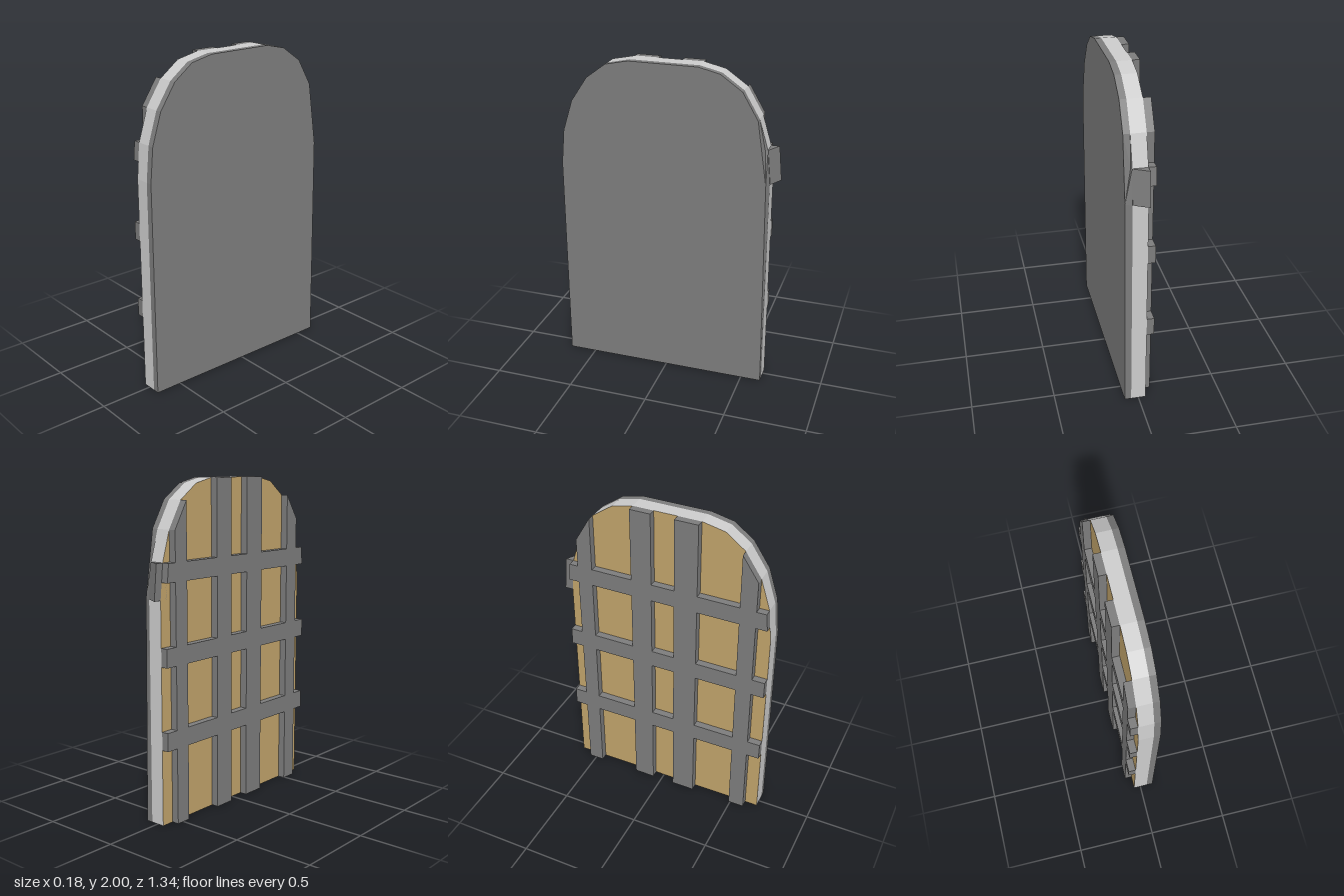
import * as THREE from 'three';

// Door outline as [z, y], running from the +z foot over the arch to the -z foot
const OUTLINE = [
  [0.67, 0], [0.67, 1.33], [0.65, 1.54], [0.59, 1.73], [0.49, 1.88], [0.37, 1.97], [0.23, 2],
  [-0.19, 2], [-0.32, 1.97], [-0.45, 1.88], [-0.545, 1.72], [-0.6, 1.54], [-0.62, 1.33], [-0.625, 0],
];

const mat = (color) => new THREE.MeshStandardMaterial({ color, flatShading: true });

// Extrude a [z, y] polygon between x0 and x1
function slab(points, x0, x1) {
  const shape = new THREE.Shape(points.map(([z, y]) => new THREE.Vector2(z, y)));
  const geo = new THREE.ExtrudeGeometry(shape, { depth: x1 - x0, bevelEnabled: false });
  return geo.rotateY(-Math.PI / 2).translate(x1, 0, 0);
}

// Height of the arch above a given z
function topAt(z) {
  for (let i = 1; i < OUTLINE.length - 2; i++) {
    const [az, ay] = OUTLINE[i], [bz, by] = OUTLINE[i + 1];
    if (z <= az && z >= bz) return ay + (by - ay) * (az - z) / (az - bz);
  }
  return 0;
}

// Half-width limit at a given height, on the +z (side 1) or -z (side -1) edge
function edgeAt(y, side) {
  const pts = OUTLINE.filter(([z]) => z * side > 0).sort((a, b) => a[1] - b[1]);
  for (let i = 0; i < pts.length - 1; i++) {
    const [az, ay] = pts[i], [bz, by] = pts[i + 1];
    if (y >= ay && y <= by) return az + (bz - az) * (y - ay) / (by - ay);
  }
  return 0;
}

// Move every vertex through a rule
function reshape(geo, rule) {
  const p = geo.attributes.position, v = new THREE.Vector3();
  for (let i = 0; i < p.count; i++) {
    v.fromBufferAttribute(p, i);
    rule(v);
    p.setXYZ(i, v.x, v.y, v.z);
  }
  geo.computeVertexNormals();
  return geo;
}

export function createModel() {
  const group = new THREE.Group();
  const rim = mat(0xcccccc), iron = mat(0x7c7c7c), wood = mat(0xc0a26a);
  const add = (name, geo, material) => {
    const mesh = new THREE.Mesh(geo, material);
    mesh.name = name;
    group.add(mesh);
  };

  // Wooden core with a grey rim
  add('doorCore', slab(OUTLINE, -0.045, 0.045), [wood, rim]);

  // Backing plate, with its far edge pinched in at the arch spring
  add('backPlate', reshape(slab(OUTLINE, 0.045, 0.085), (v) => {
    if (v.x < 0.08 || v.z > -0.55) return;
    if (Math.abs(v.y - 1.54) < 0.01) { v.x = 0.05; v.z = -0.585; }
    else if (Math.abs(v.y - 1.33) < 0.01) v.z = -0.605;
  }), iron);

  // Slanted catch on the far edge
  const latch = new THREE.BoxGeometry(0.09, 0.21, 0.1).translate(0, 1.435, -0.6);
  add('edgeCatch', reshape(latch, (v) => {
    if (v.z > -0.6) v.z = -0.57;
    else if (v.x > 0) v.z = v.y > 1.43 ? -0.602 : -0.622;
    else v.z = v.y > 1.43 ? -0.65 : -0.67;
  }), iron);

  // Upright straps, their tops cut to the arch
  for (const [z0, z1] of [[-0.545, -0.45], [-0.19, -0.06], [0.085, 0.23], [0.49, 0.59]]) {
    const arch = OUTLINE.filter(([z]) => z > z0 + 0.001 && z < z1 - 0.001);
    add('uprightStrap', slab([[z1, 0], [z1, topAt(z1)], ...arch, [z0, topAt(z0)], [z0, 0]], -0.09, -0.045), iron);
  }

  // Cross straps reaching both edges
  for (const y0 of [0.46, 0.95, 1.43]) {
    const y1 = y0 + 0.11;
    add('crossStrap', slab([
      [edgeAt(y0, 1), y0], [edgeAt(y1, 1), y1], [edgeAt(y1, -1), y1], [edgeAt(y0, -1), y0],
    ], -0.09, -0.045), iron);
  }
  return group;
}
